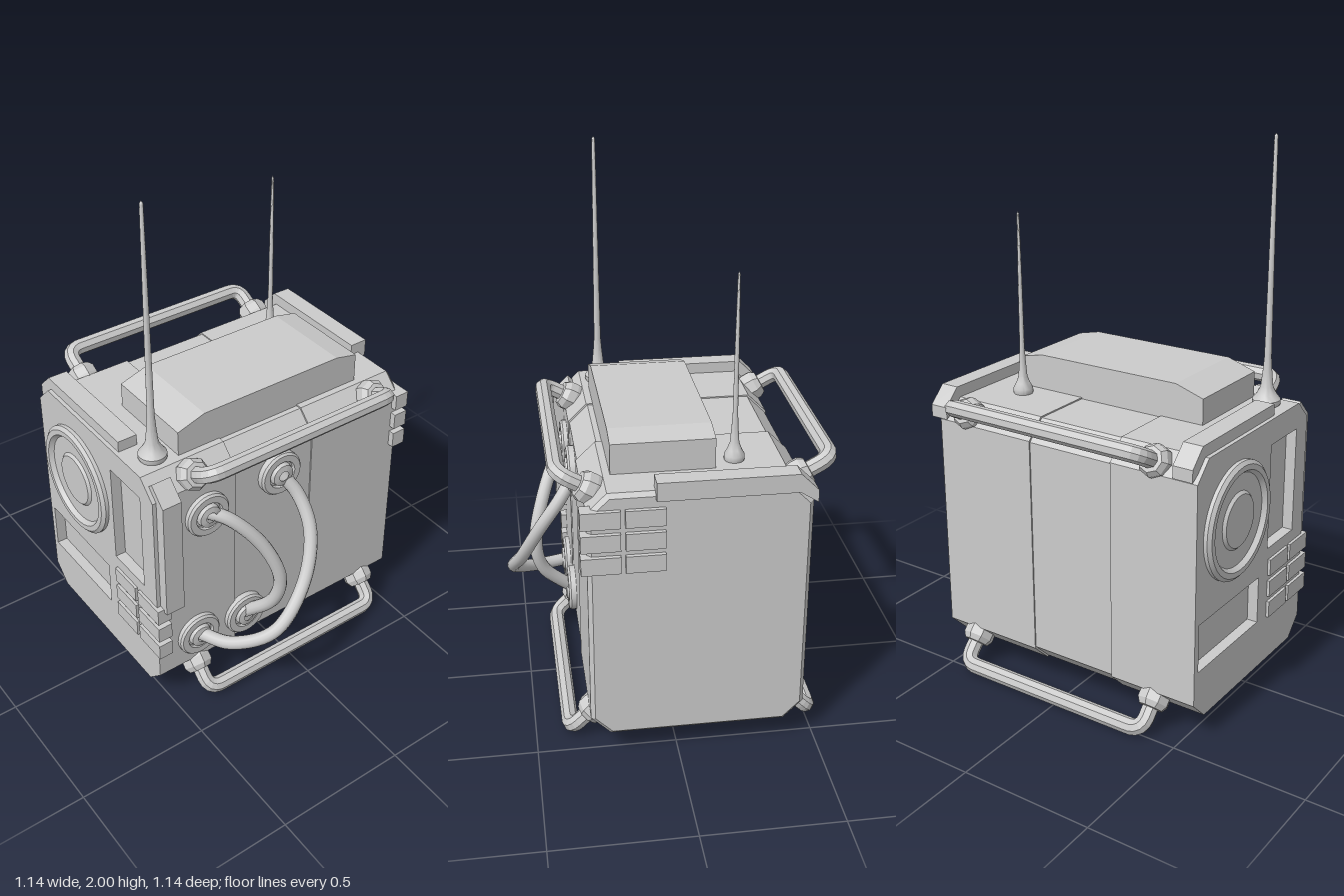
import * as THREE from 'three';
import { toCreasedNormals } from 'three/addons/utils/BufferGeometryUtils.js';

const smooth = new THREE.MeshStandardMaterial({ color: 0xcccccc });
const faceted = new THREE.MeshStandardMaterial({ color: 0xcccccc, flatShading: true });

function add(parent, name, geometry, material = smooth) {
  const mesh = new THREE.Mesh(geometry, material);
  mesh.name = name;
  parent.add(mesh);
  return mesh;
}

const polygon = (pts) => new THREE.Shape(pts.map(([a, b]) => new THREE.Vector2(a, b)));
const rect = (a0, a1, b0, b1) => polygon([[a0, b0], [a1, b0], [a1, b1], [a0, b1]]);

// Extrudes a (z, y) outline along x from x0 to x1
function prism(shape, x0, x1, bevel = 0) {
  const g = new THREE.ExtrudeGeometry(shape, {
    depth: x1 - x0 - 2 * bevel, bevelEnabled: bevel > 0, bevelSize: bevel,
    bevelThickness: bevel, bevelOffset: -bevel, bevelSegments: 1,
  });
  return g.rotateY(-Math.PI / 2).translate(x1 - bevel, 0, 0);
}

function box(x0, x1, y0, y1, z0, z1) {
  return new THREE.BoxGeometry(x1 - x0, y1 - y0, z1 - z0)
    .translate((x0 + x1) / 2, (y0 + y1) / 2, (z0 + z1) / 2);
}

function lathe(pts, sides) {
  const g = new THREE.LatheGeometry(pts.map(([r, h]) => new THREE.Vector2(r, h)), sides);
  return toCreasedNormals(g, 0.6);
}

// Chamfered case section; inset shrinks it, notch cuts a pocket in the underside
function section(inset = 0, notch = false) {
  const f = 0.31 - inset, b = -0.455 + inset, t = 1.045 - inset, u = 0.09 + inset, c = 0.07;
  const pts = [[b + c, u]];
  if (notch) pts.push([-0.1, u], [-0.1, u + 0.05], [0.22, u + 0.05], [0.22, u]);
  pts.push([f - c, u], [f, u + c], [f, t - c], [f - c, t], [b + c, t], [b, t - c], [b, u + c]);
  return polygon(pts);
}

function addCase(parent) {
  const g = new THREE.Group();
  g.name = 'case';
  parent.add(g);
  add(g, 'leftCase', prism(section(), -0.51, -0.21));
  add(g, 'middleCase', prism(section(0.005), -0.21, -0.07));
  add(g, 'middleCaseWithPocket', prism(section(0.005, true), -0.07, 0.13));
  add(g, 'rightCase', prism(section(), 0.13, 0.52));
  add(g, 'rightEnd', prism(section(), 0.4, 0.55, 0.015));
  // Left side plate with two sunken windows
  const plate = section();
  plate.holes.push(rect(-0.43, -0.02, 0.28, 0.46), rect(0.04, 0.23, 0.55, 0.95));
  add(g, 'leftPlate', prism(plate, -0.55, -0.51));
}

// Carrying handle standing on a chamfer; local y points away from the case
function addHandle(parent, y, z, dy, dz, length) {
  const g = new THREE.Group();
  g.name = 'handle';
  g.position.set(0.022, y, z);
  g.rotation.x = Math.atan2(dz, dy);
  parent.add(g);
  const w = 0.397, r = 0.05;
  const v = (a, b) => new THREE.Vector3(a, b, 0);
  const path = new THREE.CurvePath();
  path.add(new THREE.LineCurve3(v(-w, -0.03), v(-w, length - r)));
  path.add(new THREE.QuadraticBezierCurve3(v(-w, length - r), v(-w, length), v(-w + r, length)));
  path.add(new THREE.LineCurve3(v(-w + r, length), v(w - r, length)));
  path.add(new THREE.QuadraticBezierCurve3(v(w - r, length), v(w, length), v(w, length - r)));
  path.add(new THREE.LineCurve3(v(w, length - r), v(w, -0.03)));
  add(g, 'handleBar', new THREE.TubeGeometry(path, 64, 0.03, 8), faceted);
  for (const s of [-1, 1]) {
    const collar = new THREE.LatheGeometry(
      [[0.05, -0.03], [0.058, 0], [0.058, 0.03], [0.045, 0.05], [0.028, 0.052]]
        .map(([a, b]) => new THREE.Vector2(a, b)), 8);
    add(g, 'handleCollar', collar.translate(s * w, 0, 0), faceted);
  }
}

// Two columns of three vent blocks wrapping a front corner
function addVents(parent, name, x0, x1, yTop) {
  const g = new THREE.Group();
  g.name = name;
  parent.add(g);
  for (let row = 0; row < 3; row++) {
    const y = yTop - row * 0.085;
    for (const z of [0.047, 0.198]) add(g, 'ventBlock', box(x0, x1, y - 0.063, y, z, z + 0.135));
  }
}

function addAntenna(parent, name, x, z, baseRadius, rodRadius, top) {
  const b = baseRadius, r = rodRadius;
  const g = lathe([
    [b * 0.8, 1.03], [b, 1.05], [b, 1.065], [b * 0.7, 1.085], [b * 0.45, 1.11],
    [r * 1.3, 1.17], [r, 1.22], [r * 0.85, 1.45], [r * 0.5, top - 0.01], [0, top],
  ], 20);
  add(parent, name, g).position.set(x, 0, z);
}

function addCable(parent, points) {
  const path = new THREE.CatmullRomCurve3(points.map((p) => new THREE.Vector3(...p)));
  add(parent, 'cable', new THREE.TubeGeometry(path, 48, 0.025, 12));
  // Round socket at both ends
  for (const [x, y] of [points[0], points[points.length - 1]]) {
    const socket = lathe([
      [0.087, -0.01], [0.087, 0.016], [0.08, 0.024], [0.055, 0.024],
      [0.052, 0.012], [0.046, 0.012], [0.042, 0.03], [0.02, 0.034],
    ], 28).rotateX(Math.PI / 2);
    add(parent, 'socket', socket).position.set(x, y, 0.31);
  }
}

export function createModel() {
  const model = new THREE.Group();
  model.name = 'portableRadioPack';
  addCase(model);

  // Straps over the rear top edges, and one down the left front edge
  const strap = [[0.08, 1.02], [0.08, 1.087], [-0.4, 1.087], [-0.462, 1.025], [-0.462, 0.98], [-0.4, 1.02]];
  add(model, 'rightTopStrap', prism(polygon(strap.slice().reverse()), 0.5, 0.57));
  add(model, 'leftTopStrap', prism(polygon(strap.slice().reverse()), -0.535, -0.46));
  add(model, 'leftFrontStrap', prism(
    polygon([[0.28, 0.49], [0.35, 0.49], [0.35, 0.97], [0.285, 1.035], [0.25, 1.0], [0.28, 0.96]]), -0.535, -0.46));

  addVents(model, 'rightVents', 0.51, 0.566, 0.99);
  addVents(model, 'leftVents', -0.561, -0.505, 0.504);

  // Top housing with sloped ends
  const housing = new THREE.ExtrudeGeometry(polygon([
    [-0.38, 1.03], [0.4, 1.03], [0.4, 1.155], [0.31, 1.175], [-0.27, 1.175], [-0.38, 1.14],
  ]), { depth: 0.36, bevelEnabled: false });
  add(model, 'topHousing', housing.translate(0, 0, -0.145));

  // Speaker on the left side plate
  const speaker = lathe([
    [0.213, -0.02], [0.213, 0.014], [0.2, 0.025], [0.18, 0.025], [0.168, 0.008],
    [0.105, 0.008], [0.095, 0.018], [0, 0.018],
  ], 40).rotateZ(Math.PI / 2);
  add(model, 'speaker', speaker).position.set(-0.55, 0.757, -0.2);

  addAntenna(model, 'longAntenna', -0.455, 0.17, 0.051, 0.013, 2);
  addAntenna(model, 'shortAntenna', 0.34, -0.22, 0.036, 0.009, 1.715);

  addHandle(model, 1.005, 0.28, 0.065, 0.115, 0.132);
  addHandle(model, 1.005, -0.42, 0.065, -0.12, 0.136);
  addHandle(model, 0.13, 0.28, -0.095, 0.095, 0.134);
  addHandle(model, 0.13, -0.42, -0.095, -0.09, 0.134);

  addCable(model, [
    [-0.335, 0.835, 0.3], [-0.27, 0.805, 0.355], [-0.17, 0.68, 0.42],
    [-0.115, 0.52, 0.455], [-0.125, 0.4, 0.43], [-0.17, 0.27, 0.31],
  ]);
  addCable(model, [
    [-0.02, 0.87, 0.3], [0.03, 0.78, 0.36], [0.03, 0.66, 0.44], [-0.05, 0.5, 0.51],
    [-0.2, 0.37, 0.54], [-0.32, 0.3, 0.44], [-0.38, 0.285, 0.31],
  ]);
  return model;
}
